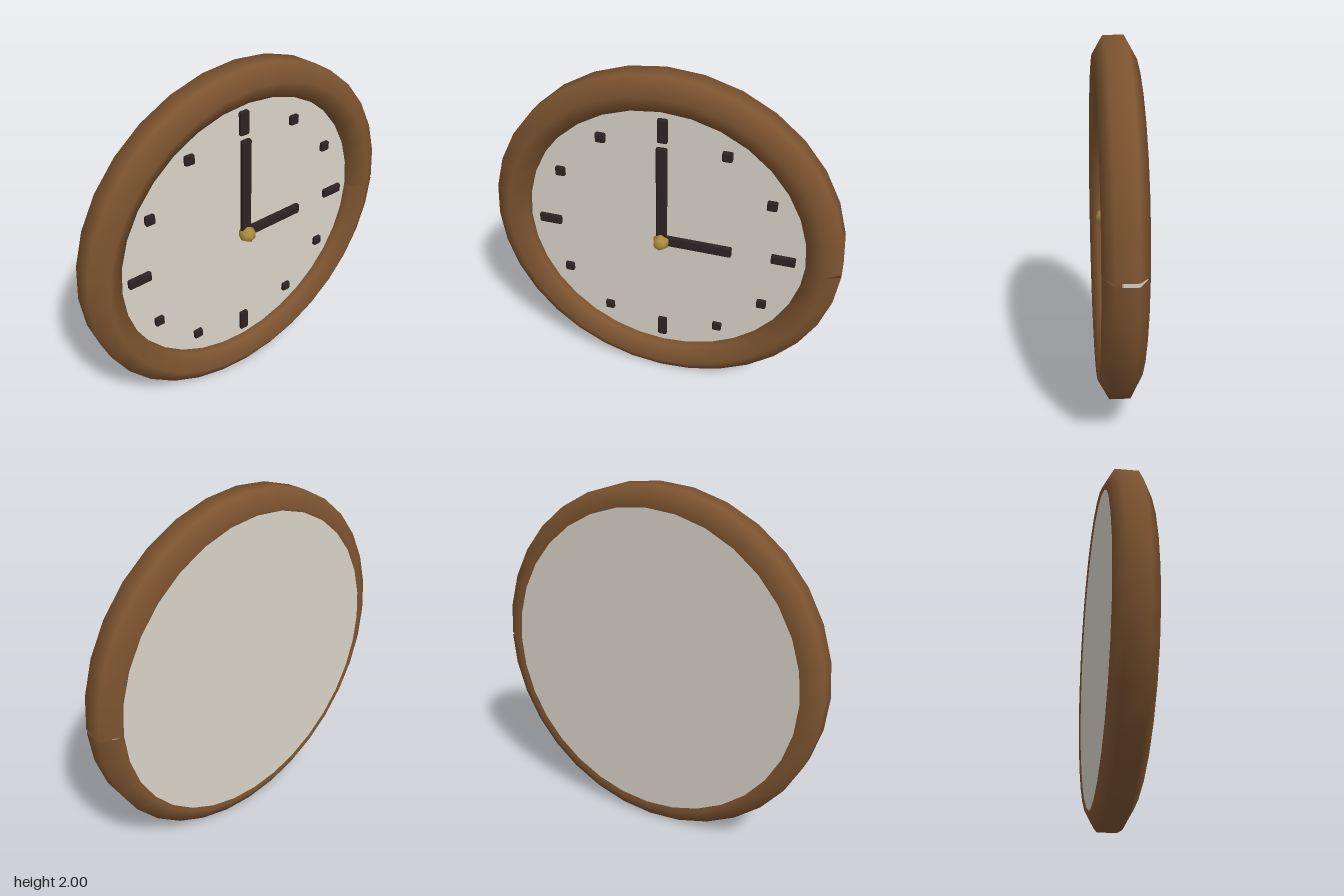
import * as THREE from 'three';
import { RoundedBoxGeometry } from 'three/addons/geometries/RoundedBoxGeometry.js';

const wood = new THREE.MeshStandardMaterial({ color: 0x7d5430, side: THREE.DoubleSide });
const cream = new THREE.MeshStandardMaterial({ color: 0xd8d3c8 });
const dark = new THREE.MeshStandardMaterial({ color: 0x2c2422 });
const brass = new THREE.MeshStandardMaterial({ color: 0xb08d3e });

export function createModel() {
  const clock = new THREE.Group();
  clock.name = 'wallClock';
  const body = new THREE.Group();
  body.name = 'clockBody';
  body.position.y = 1;
  clock.add(body);

  const add = (name, geometry, material, x = 0, y = 0, z = 0) => {
    const mesh = new THREE.Mesh(geometry, material);
    mesh.name = name;
    mesh.position.set(x, y, z);
    body.add(mesh);
    return mesh;
  };
  const bar = (name, w, h, d, x, y, z) =>
    add(name, new RoundedBoxGeometry(w, h, d, 1, 0.008), dark, x, y, z);

  // Six-sided rim bent into a ring, with its open seam at +x
  const sides = 32;
  const ring = [];
  for (let i = 0; i <= sides; i++) {
    const a = (i / sides) * Math.PI * 2;
    ring.push(new THREE.Vector3(0.905 * Math.cos(a), 0.905 * Math.sin(a), 0));
  }
  add('rim', new THREE.TubeGeometry(new THREE.CatmullRomCurve3(ring), sides, 0.11, 6, false), wood);

  // Dial, its edge buried in the rim
  add('dial', new THREE.CylinderGeometry(0.9, 0.9, 0.11, sides).rotateX(Math.PI / 2), cream, 0, 0, -0.045);

  // Hour marks: long at the quarters, small squares between
  for (let i = 0; i < 12; i++) {
    const a = (i / 12) * Math.PI * 2;
    const quarter = i % 3 === 0;
    const w = quarter && i % 6 === 3 ? 0.135 : 0.055;
    const h = quarter && i % 6 === 0 ? 0.135 : 0.055;
    bar('hourMark', w, h, 0.03, 0.685 * Math.sin(a), 0.685 * Math.cos(a), 0.017);
  }

  // Hands and hub
  bar('minuteHand', 0.06, 0.6, 0.03, 0, 0.295, 0.035);
  bar('hourHand', 0.4, 0.06, 0.03, 0.2, 0, 0.03);
  const hub = new THREE.SphereGeometry(0.05, 6, 4).rotateX(Math.PI / 2).rotateZ(Math.PI / 6);
  add('hub', hub, brass, 0, 0, 0.05);

  return clock;
}
